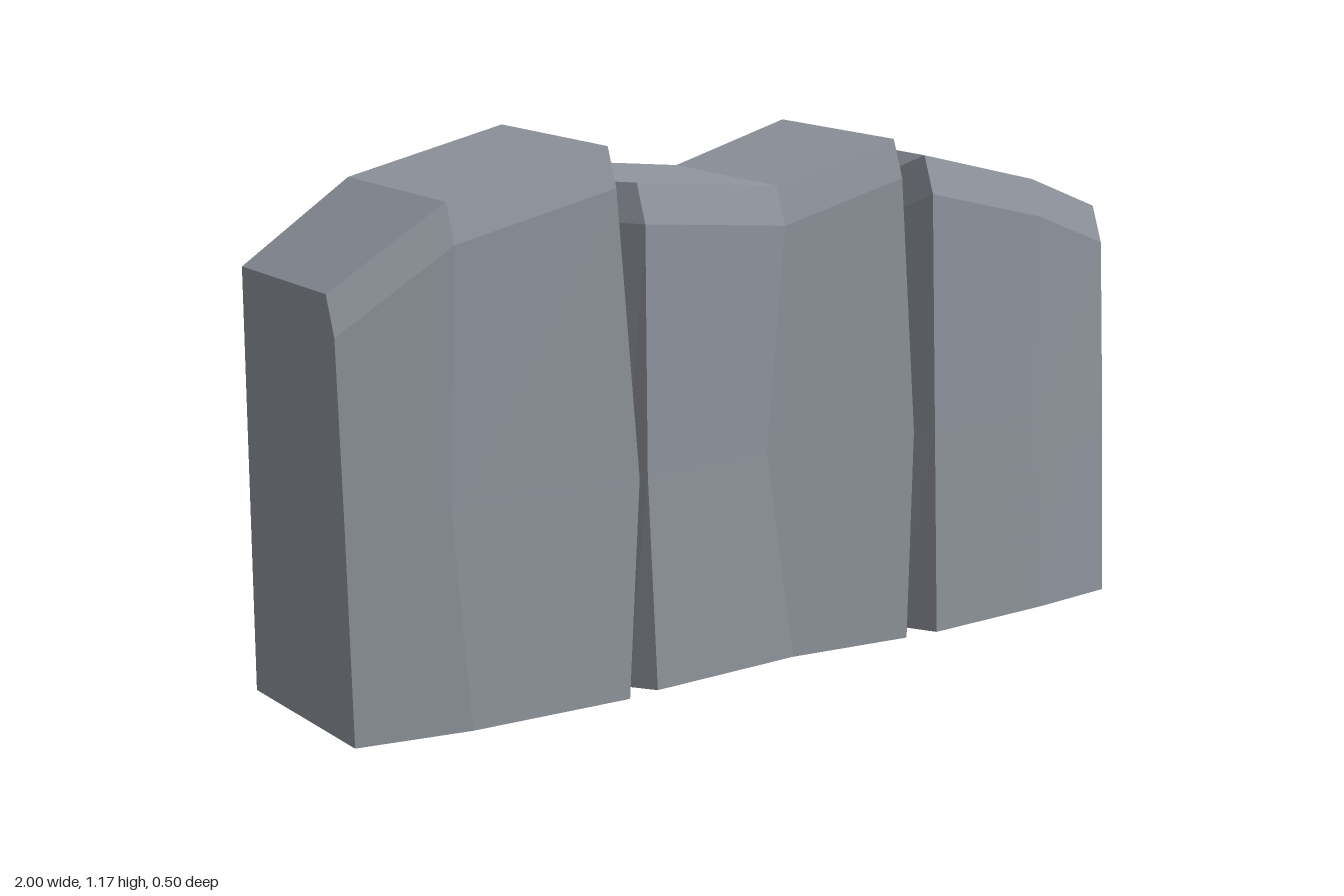
import * as THREE from 'three';

// Columns across the wall: x, x at mid height, top height, front depth at the base
const COLUMNS = [
  [-1, -1, 0.917, 0.2],
  [-0.75, -0.78, 1.083, 0.24],
  [-0.375, -0.335, 1.167, 0.25],
  [-0.335, -0.32, 1.083, 0.18], // left crack
  [-0.295, -0.305, 1.083, 0.235],
  [0.08, 0.02, 1.042, 0.21],
  [0.375, 0.403, 1.125, 0.24],
  [0.415, 0.428, 1.04, 0.168], // right crack
  [0.458, 0.459, 1.083, 0.245],
  [0.79, 0.76, 1.0, 0.225],
  [1, 1, 0.917, 0.2],
];
const BACK = -0.25;

// Section of one column: back foot, front foot, middle, bevel start, top edge, back top
function section([x, midX, top, z]) {
  return [
    [x, 0, BACK],
    [x, 0, z],
    [midX, 0.47, z - 0.02],
    [x, top - 0.083, z - 0.04],
    [x, top, z - 0.072],
    [x, top, BACK],
  ];
}

function wallGeometry() {
  const rings = COLUMNS.map(section);
  const n = rings[0].length;
  const positions = [];
  const tri = (a, b, c) => positions.push(...a, ...b, ...c);

  // Skin between neighbouring columns
  for (let i = 0; i < rings.length - 1; i++) {
    for (let j = 0; j < n; j++) {
      const k = (j + 1) % n;
      const a = rings[i][j], b = rings[i + 1][j], c = rings[i + 1][k], d = rings[i][k];
      tri(a, b, c);
      tri(a, c, d);
    }
  }
  // Flat ends
  const first = rings[0], last = rings[rings.length - 1];
  for (let j = 1; j < n - 1; j++) {
    tri(first[0], first[j], first[j + 1]);
    tri(last[0], last[j + 1], last[j]);
  }

  const geometry = new THREE.BufferGeometry();
  geometry.setAttribute('position', new THREE.Float32BufferAttribute(positions, 3));
  geometry.computeVertexNormals();
  return geometry;
}

export function createModel() {
  const group = new THREE.Group();
  group.name = 'rockWall';
  const stone = new THREE.MeshStandardMaterial({ color: 0x90959e, flatShading: true });
  const wall = new THREE.Mesh(wallGeometry(), stone);
  wall.name = 'crackedStoneBlock';
  group.add(wall);
  return group;
}
